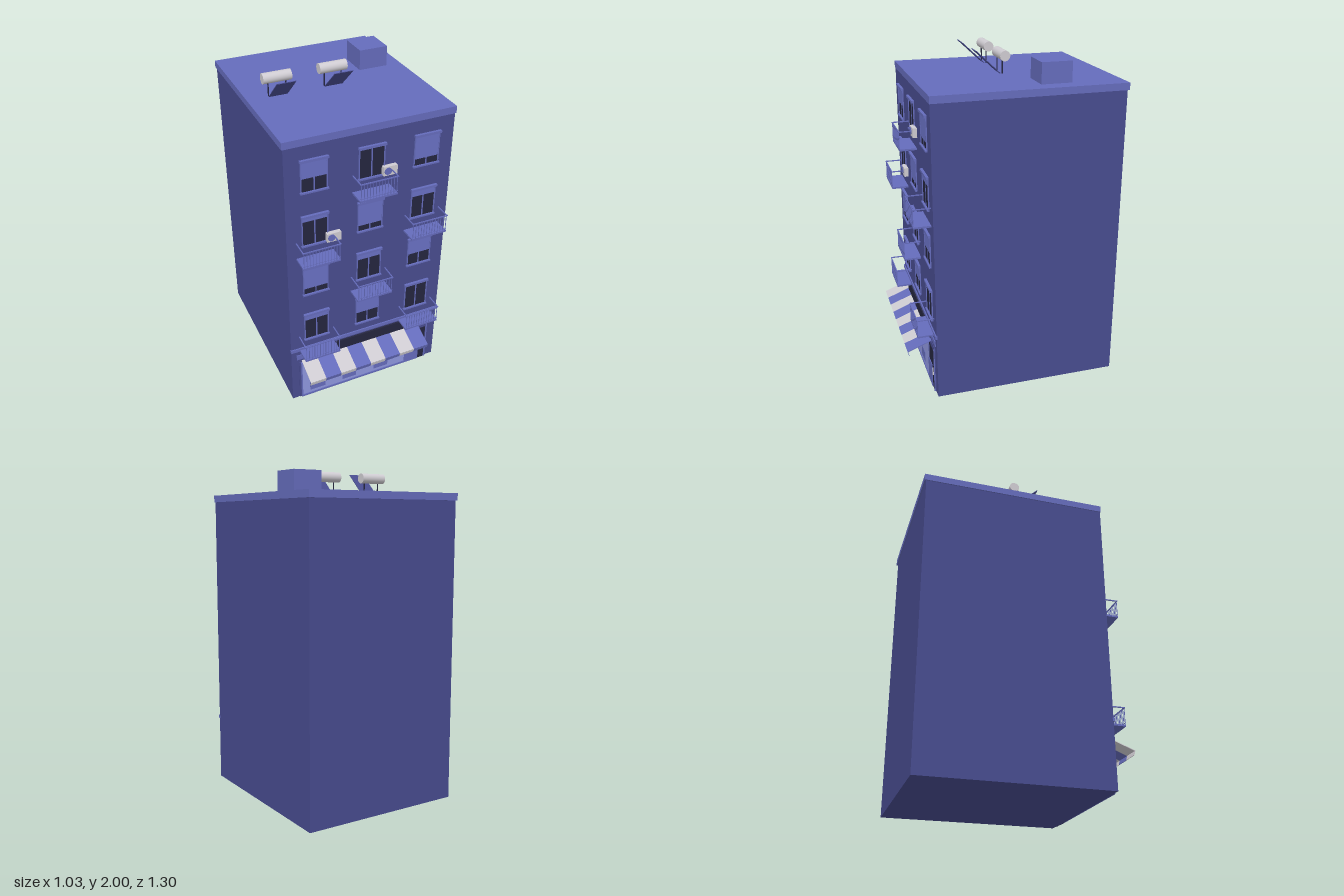
import * as THREE from 'three';

const mat = (name, color) => {
  const m = new THREE.MeshStandardMaterial({ color });
  m.name = name;
  return m;
};

export function createModel() {
  const wall = mat('wall blue', 0x484c8f);
  const trim = mat('trim blue', 0x656cbc);
  const dark = mat('dark glass', 0x25263f);
  const pane = mat('shop glass', 0x8f97de);
  const white = mat('off white', 0xcfccd2);

  const model = new THREE.Group();
  model.name = 'apartmentBuilding';
  const FRONT = 0.495;

  // Box given by its limits on each axis
  const box = (parent, name, m, x0, x1, y0, y1, z0, z1) => {
    const mesh = new THREE.Mesh(new THREE.BoxGeometry(x1 - x0, y1 - y0, z1 - z0), m);
    mesh.position.set((x0 + x1) / 2, (y0 + y1) / 2, (z0 + z1) / 2);
    mesh.name = name;
    parent.add(mesh);
    return mesh;
  };
  const group = (name, x = 0, y = 0, z = 0) => {
    const g = new THREE.Group();
    g.name = name;
    g.position.set(x, y, z);
    model.add(g);
    return g;
  };
  // Thin sloping board through two (z, y) points
  const board = (parent, name, m, x0, x1, [z0, y0], [z1, y1], t) => {
    const len = Math.hypot(z1 - z0, y1 - y0);
    const mesh = new THREE.Mesh(new THREE.BoxGeometry(x1 - x0, t, len), m);
    mesh.position.set((x0 + x1) / 2, (y0 + y1) / 2, (z0 + z1) / 2);
    mesh.rotation.x = -Math.atan2(y1 - y0, z1 - z0);
    mesh.name = name;
    parent.add(mesh);
  };

  // Main block, roof slab and ledge above the shop
  box(model, 'walls', wall, -0.51, 0.506, 0, 1.82, -0.64, FRONT);
  box(model, 'roofSlab', trim, -0.516, 0.513, 1.82, 1.862, -0.65, 0.498);
  box(model, 'ledge', trim, -0.512, 0.508, 0.4, 0.422, 0.49, 0.503);

  // Window: x and y of its bottom centre, height of the open glass
  function addWindow(x, y, open) {
    const g = group('window', x, y, FRONT);
    const h = 0.185;
    box(g, 'glass', dark, -0.073, 0.073, 0, h, -0.002, 0.002);
    box(g, 'mullion', trim, -0.004, 0.004, 0, open, 0, 0.004);
    for (const s of [-1, 1]) {
      const c = s * 0.076;
      box(g, 'jamb', trim, c - 0.003, c + 0.003, 0, h, 0, 0.007);
    }
    box(g, 'sill', trim, -0.083, 0.083, -0.006, 0.003, 0, 0.014);
    box(g, 'hood', trim, -0.083, 0.083, h, h + 0.015, 0, 0.016);
    // rolled-down slatted shutter
    const n = Math.max(1, Math.round((h - open) / 0.015));
    const step = (h - open) / n;
    for (let i = 0; i < n; i++) {
      const y0 = open + i * step;
      box(g, 'shutterSlat', trim, -0.073, 0.073, y0, y0 + step, 0, 0.005).rotation.x = -0.12;
    }
  }

  // Balcony: floor, handrail and bars
  function addBalcony(x, y) {
    const g = group('balcony', x, y, FRONT);
    box(g, 'floor', trim, -0.114, 0.114, 0, 0.011, 0, 0.103);
    box(g, 'frontRail', trim, -0.116, 0.116, 0.112, 0.118, 0.099, 0.105);
    box(g, 'lowerRail', trim, -0.114, 0.114, 0.022, 0.025, 0.1, 0.103);
    for (const s of [-1, 1]) {
      const c = s * 0.112;
      box(g, 'sideRail', trim, c - 0.003, c + 0.003, 0.112, 0.118, 0, 0.104);
    }
    for (let i = 0; i <= 12; i++) {
      const c = -0.108 + i * 0.018;
      box(g, 'bar', trim, c - 0.0016, c + 0.0016, 0.005, 0.115, 0.1, 0.103);
    }
  }

  // Per floor: window base, balcony height, glass opening of each column
  const columns = [-0.34, 0, 0.34];
  const floors = [
    { y: 0.485, deck: 0.397, open: [0.15, 0.085, 0.182], balcony: [1, 0, 1] },
    { y: 0.835, deck: 0.75, open: [0.043, 0.148, 0.083], balcony: [0, 1, 0] },
    { y: 1.188, deck: 1.1, open: [0.16, 0.04, 0.145], balcony: [1, 0, 1] },
    { y: 1.538, deck: 1.453, open: [0.085, 0.182, 0.045], balcony: [0, 1, 0] },
  ];
  for (const f of floors) {
    columns.forEach((x, i) => {
      addWindow(x, f.y, f.open[i]);
      if (f.balcony[i]) addBalcony(x, f.deck);
    });
  }

  // Air conditioners with a round fan
  for (const [x, y] of [[0.105, 1.565], [-0.234, 1.215]]) {
    const g = group('airConditioner', x, y, FRONT);
    box(g, 'casing', white, -0.043, 0.043, -0.028, 0.028, 0.002, 0.028);
    const fan = new THREE.Mesh(new THREE.CylinderGeometry(0.022, 0.022, 0.004, 20), trim);
    fan.rotation.x = Math.PI / 2;
    fan.position.set(-0.016, 0, 0.029);
    fan.name = 'fan';
    g.add(fan);
  }

  // Shop front
  const shop = group('shopFront');
  box(shop, 'surround', wall, -0.462, 0.452, 0, 0.3, 0.49, 0.499);
  box(shop, 'shopWindow', pane, -0.445, 0.3, 0.012, 0.3, 0.495, 0.501);
  box(shop, 'windowBase', trim, -0.45, 0.3, 0, 0.014, 0.495, 0.506);
  for (const x of [-0.447, 0.302, 0.442]) {
    box(shop, 'pillar', trim, x - 0.004, x + 0.004, 0, 0.295, 0.495, 0.505);
  }
  for (const [x0, x1, y1] of [[-0.393, -0.288, 0.102], [-0.166, -0.068, 0.152], [0.06, 0.162, 0.102]]) {
    box(shop, 'displayPanel', trim, x0, x1, 0.034, y1, 0.499, 0.503);
  }
  box(shop, 'door', dark, 0.306, 0.435, 0, 0.268, 0.495, 0.502);
  box(shop, 'doorPanel', trim, 0.288, 0.39, 0, 0.155, 0.498, 0.506);
  box(shop, 'doorHandle', white, 0.411, 0.417, 0.098, 0.148, 0.5, 0.508);
  box(shop, 'signBand', trim, -0.475, 0.47, 0.33, 0.365, 0.49, 0.501);
  box(shop, 'signBoard', dark, -0.335, 0.332, 0.312, 0.385, 0.49, 0.506);

  // Striped awning with a hanging edge
  const awning = group('awning');
  const stripe = 0.816 / 8;
  for (let i = 0; i < 8; i++) {
    const x0 = -0.445 + i * stripe;
    const m = i % 2 ? trim : white;
    board(awning, 'awningStripe', m, x0, x0 + stripe, [0.5, 0.317], [0.648, 0.261], 0.004);
    board(awning, 'awningEdge', m, x0, x0 + stripe, [0.648, 0.261], [0.64, 0.233], 0.003);
  }

  // Roof hut
  box(model, 'roofHut', trim, 0.237, 0.417, 1.86, 1.985, -0.34, -0.157);

  // Solar water heaters: tilted panel, tank and legs
  for (const x of [-0.332, 0.008]) {
    const g = group('solarHeater', x);
    board(g, 'solarPanel', wall, -0.056, 0.056, [-0.03, 1.863], [0.115, 1.998], 0.004);
    const tank = new THREE.Mesh(new THREE.CylinderGeometry(0.031, 0.031, 0.17, 24), white);
    tank.rotation.z = Math.PI / 2;
    tank.position.set(0, 1.968, -0.05);
    tank.name = 'tank';
    g.add(tank);
    for (const s of [-1, 1]) {
      const c = s * 0.053;
      box(g, 'leg', dark, c - 0.003, c + 0.003, 1.86, 1.95, -0.045, -0.039);
    }
  }

  return model;
}
